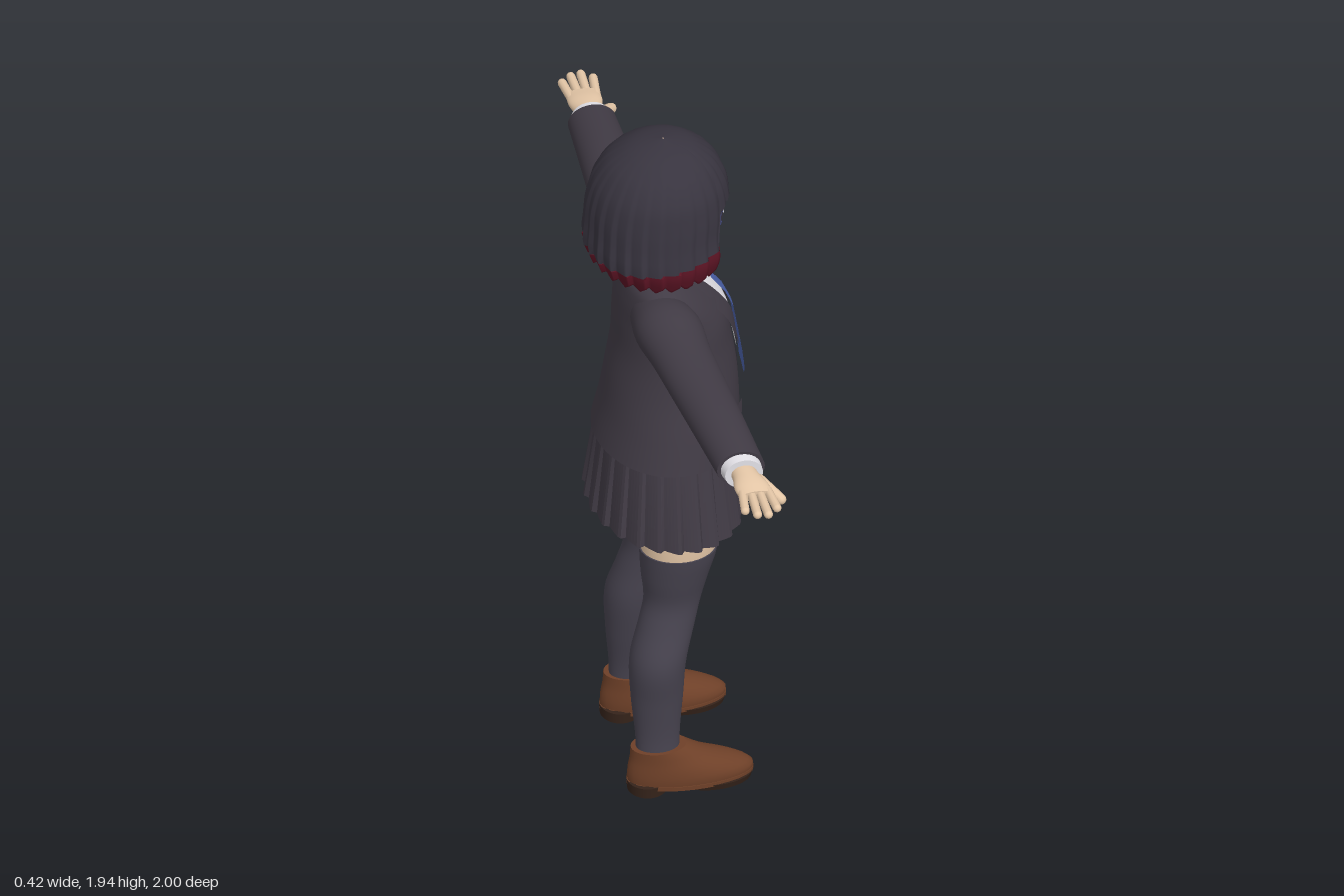
import * as THREE from 'three';

const paint = (name, color) => {
  const m = new THREE.MeshStandardMaterial({ color, side: THREE.DoubleSide });
  m.name = name;
  return m;
};

// Grid surface: fn(u, v) gives a point; u runs to the right, v runs up.
function grid(cols, rows, fn, closed) {
  const pos = [], idx = [], w = closed ? cols : cols + 1;
  for (let i = 0; i <= rows; i++)
    for (let j = 0; j < w; j++) pos.push(...fn(j / cols, i / rows, i));
  for (let i = 0; i < rows; i++)
    for (let j = 0; j < cols; j++) {
      const a = i * w + j, b = i * w + (j + 1) % w;
      idx.push(a, b, b + w, a, b + w, a + w);
    }
  const g = new THREE.BufferGeometry();
  g.setAttribute('position', new THREE.Float32BufferAttribute(pos, 3));
  g.setIndex(idx);
  g.computeVertexNormals();
  return g;
}

// Smooth reading of cross-sections [y, centre x, centre z, radius x, radius z].
function profile(sections) {
  const it = new THREE.CubicInterpolant(sections.map(s => s[0]), sections.flatMap(s => s.slice(1)), 4);
  const lo = sections[0][0], hi = sections[sections.length - 1][0];
  const at = y => it.evaluate(THREE.MathUtils.clamp(y, lo, hi));
  return Object.assign(at, { lo, hi });
}

// Closed body through a profile, with sharp-edged end caps.
function loft(prof, { lo = prof.lo, hi = prof.hi, grow = 0, cols = 32, rows = 24 } = {}) {
  return grid(cols, rows + 4, (u, v, i) => {
    const y = lo + (hi - lo) * THREE.MathUtils.clamp((i - 2) / rows, 0, 1);
    const [cx, cz, rx, rz] = prof(y), a = u * Math.PI * 2, k = i === 0 || i === rows + 4 ? 0 : 1;
    return [cx + k * (rx + grow) * Math.sin(a), y, cz + k * (rz + grow) * Math.cos(a)];
  }, true);
}

// Thin panel laid on the front of a profile; rows are [y, x from, x to], upwards.
function panel(prof, outline, off, side = 1) {
  const n = outline.length - 1;
  return grid(10, n * 4, (u, v) => {
    const k = Math.min(n - 1, Math.floor(v * n)), f = v * n - k;
    const [y, x0, x1] = outline[k].map((p, c) => THREE.MathUtils.lerp(p, outline[k + 1][c], f));
    const x = side > 0 ? x0 + (x1 - x0) * u : -x1 + (x1 - x0) * u;
    const [cx, cz, rx, rz] = prof(y);
    const s = (x - cx) / (rx + off);
    return [x, y, cz + (rz + off) * Math.sqrt(Math.max(0, 1 - s * s))];
  });
}

const oval = (x, y, rx, ry) => Array.from({ length: 9 }, (_, i) => {
  const a = -Math.PI / 2 + i / 8 * Math.PI, c = rx * Math.cos(a);
  return [y + ry * Math.sin(a), x - c, x + c];
});

export function createModel() {
  const model = new THREE.Group(), figure = new THREE.Group();
  model.name = 'schoolgirl';
  figure.name = 'figure';
  figure.rotation.y = Math.PI / 2;
  model.add(figure);

  const cloth = paint('dark jacket cloth', 0x413b45), hairMat = paint('dark hair', 0x38343f);
  const tipMat = paint('red hair tips', 0x5c1424), skin = paint('skin', 0xe6c8a8);
  const sockMat = paint('sock', 0x47434f), blue = paint('tie blue', 0x4a60a8);
  const brown = paint('shoe leather', 0x6e4028), soleMat = paint('dark sole', 0x35231a);
  const white = paint('white', 0xe6e4ea), iris = paint('iris', 0x4a5290);

  const add = (name, geo, mat) => {
    const m = new THREE.Mesh(geo, mat);
    m.name = name;
    figure.add(m);
    return m;
  };
  const capsule = (name, from, to, r, mat) => {
    const a = new THREE.Vector3(...from), b = new THREE.Vector3(...to), d = b.clone().sub(a);
    const m = add(name, new THREE.CapsuleGeometry(r, d.length(), 5, 10), mat);
    m.position.copy(a).add(b).multiplyScalar(0.5);
    m.quaternion.setFromUnitVectors(new THREE.Vector3(0, 1, 0), d.normalize());
  };

  // Head and face
  const head = profile([[1.577, 0, .085, .015, .02], [1.59, 0, .068, .05, .055], [1.62, 0, .037, .09, .098],
    [1.66, 0, .01, .12, .138], [1.72, 0, 0, .137, .15], [1.8, 0, -.01, .14, .15], [1.88, 0, -.01, .09, .1]]);
  add('head', loft(head), skin);
  const nose = add('nose', new THREE.ConeGeometry(.012, .035, 10), skin);
  nose.position.set(0, 1.672, .152);
  nose.rotation.x = .5;
  add('mouth', panel(head, oval(0, 1.632, .022, .004), .004), tipMat);
  for (const s of [1, -1]) {
    add('eyeWhite', panel(head, oval(.062, 1.712, .031, .026), .003, s), white);
    add('iris', panel(head, oval(.06, 1.711, .02, .025), .005, s), iris);
    add('pupil', panel(head, oval(.06, 1.711, .009, .013), .007, s), hairMat);
    add('eyelash', panel(head, [[1.727, .028, .096], [1.737, .035, .092], [1.743, .05, .08]], .007, s), hairMat);
    add('glint', panel(head, oval(.053 * s, 1.722, .005, .005), .009), white);
  }

  // Bobbed hair: short fringe in front, long locks around, red ends
  const bob = profile([[1.58, 0, -.02, .19, .165], [1.64, 0, -.02, .208, .185], [1.7, 0, -.02, .198, .183],
    [1.77, 0, -.015, .187, .182], [1.84, 0, -.01, .167, .163], [1.9, 0, -.005, .115, .115],
    [1.93, 0, 0, .055, .055], [1.94, 0, 0, .002, .002]]);
  const lock = a => { const f = a * 26 / (Math.PI * 2); return f - Math.floor(f); };
  const point = (a, y, depth, k = 1) => {
    const [, cz, rx, rz] = bob(y), r = k * (1 + depth * (lock(a) - .5));
    return [rx * r * Math.sin(a), y, cz + rz * r * Math.cos(a)];
  };
  const seam = a => 1.65 + .02 * Math.cos(a);
  const part = .68;
  add('hair', grid(156, 24, (u, v) => {
    const a = (u * 2 - 1) * Math.PI;
    const low = Math.abs(a) < part ? 1.762 + .022 * Math.abs(2 * lock(a) - 1) : seam(a);
    return point(a, low + (1.94 - low) * Math.sin(v * Math.PI / 2), .07 * (1 - v) ** 2);
  }, true), hairMat);
  add('hairTips', grid(140, 8, (u, v, i) => {
    const a = part + u * (Math.PI * 2 - 2 * part);
    const low = 1.585 + .022 * Math.abs(2 * lock(a) - 1), b = a > Math.PI ? a - 2 * Math.PI : a;
    if (i === 0) return point(b, low + .03, .07, .72);
    return point(b, low + (seam(a) - low) * (i - 1) / 7, .07);
  }), tipMat);

  // Neck, jacket, shirt and tie
  const neck = add('neck', new THREE.CylinderGeometry(.05, .055, .14, 20), skin);
  neck.position.set(0, 1.57, -.02);
  const jacket = profile([[1.03, 0, .005, .243, .19], [1.12, 0, .015, .224, .18], [1.22, 0, .02, .2, .17],
    [1.32, 0, .02, .188, .155], [1.42, 0, .012, .188, .142], [1.5, 0, -.012, .192, .108],
    [1.55, 0, -.03, .155, .075], [1.575, 0, -.03, .085, .052]]);
  add('jacket', loft(jacket, { cols: 48, rows: 32 }), cloth);
  const collar = add('shirtCollar', new THREE.CylinderGeometry(.06, .078, .05, 24, 1, true), white);
  collar.position.set(0, 1.572, -.022);
  add('shirt', panel(jacket, [[1.25, -.006, .006], [1.4, -.04, .04], [1.5, -.06, .06], [1.57, -.06, .06]], .006), white);
  add('tie', panel(jacket, [[1.165, -.006, .006], [1.195, -.036, .036], [1.3, -.034, .034],
    [1.49, -.02, .02]], .018), blue);
  add('tieKnot', panel(jacket, [[1.485, -.018, .018], [1.54, -.029, .029], [1.55, -.025, .025]], .024), blue);
  add('frontEdge', panel(jacket, [[1.04, .012, .018], [1.26, .012, .018]], .006), cloth);
  for (const s of [1, -1]) {
    add('collarWing', panel(jacket, [[1.505, .052, .06], [1.54, .028, .075], [1.572, .022, .07]], .016, s), white);
    add('lapel', panel(jacket, [[1.25, .012, .02], [1.36, .036, .085], [1.46, .052, .118],
      [1.475, .054, .085], [1.49, .056, .105], [1.555, .065, .1]], .013, s), cloth);
    add('pocketFlap', panel(jacket, [[1.115, .105, .19], [1.155, .1, .186]], .011, s), cloth);
  }
  add('chestBadge', panel(jacket, [[1.425, .12, .165], [1.435, .112, .172], [1.45, .118, .165]], .012), white);
  for (const y of [1.2, 1.29]) {
    const [, cz, , rz] = jacket(y);
    const b = add('button', new THREE.SphereGeometry(.011, 12, 8), soleMat);
    b.position.set(.06, y, cz + rz * .96);
    b.scale.z = .6;
  }

  // Pleated skirt with stepped folds, slightly longer in front
  const skirt = grid(144, 4, (u, v) => {
    const a = u * Math.PI * 2, f = (u * 24) % 1;
    const fold = f < .8 ? f / .8 : (1 - f) / .2, flare = 1 - v;
    const r = 1 + .065 * (fold - .5) * (.3 + .7 * flare);
    const rx = .222 + .048 * flare, rz = .172 + .03 * flare;
    return [rx * r * Math.sin(a), 1.06 - flare * (.255 + .015 * Math.cos(a)), rz * r * Math.cos(a)];
  }, true).toNonIndexed();
  skirt.computeVertexNormals();
  add('skirt', skirt, cloth);
  add('shorts', loft(profile([[.84, 0, .005, .06, .09], [.88, 0, .005, .17, .13], [.94, 0, .005, .21, .15],
    [1.04, 0, .005, .2, .15]])), cloth);

  for (const s of [1, -1]) {
    // Leg, sock and loafer
    const leg = profile([[.09, .167, -.05, .042, .057], [.16, .163, -.05, .043, .058], [.28, .156, -.05, .06, .068],
      [.4, .152, -.046, .077, .074], [.5, .136, -.02, .068, .074], [.57, .126, -.003, .066, .075],
      [.65, .126, .004, .08, .089], [.73, .13, .012, .089, .102], [.95, .125, .01, .098, .11]]
      .map(([y, x, ...r]) => [y, s * x, ...r]));
    add('thigh', loft(leg, { lo: .71, grow: -.004 }), skin);
    add('sock', loft(leg, { hi: .735, rows: 32 }), sockMat);
    const layer = (name, rows, mat) =>
      add(name, loft(profile(rows.map(([y, z, rx, rz]) => [y, s * .167, z, rx, rz])), { rows: 10 }), mat);
    layer('shoe', [[.022, .035, .064, .164], [.045, .034, .066, .165], [.07, .014, .062, .143],
      [.095, -.018, .055, .106], [.13, -.048, .05, .073]], brown);
    layer('shoeWelt', [[.018, .035, .067, .167], [.03, .035, .067, .167]], brown);
    layer('heel', [[0, -.078, .056, .052], [.03, -.078, .058, .054]], soleMat);
    layer('sole', [[.004, .095, .06, .1], [.022, .095, .065, .106]], soleMat);

    // Sleeve, cuff and hand; the right arm reaches a little further forward
    const drift = x => (s > 0 ? .01 : .07) * (x - .2) / .6;
    const along = (name, rows, mat) => {
      const g = loft(profile(rows.map(([x, y, ry, rz]) => [x, -s * y, -.03 + drift(x), ry, rz])));
      add(name, g.rotateZ(-s * Math.PI / 2), mat);
    };
    along('sleeve', [[.11, 1.465, .07, .07], [.2, 1.474, .079, .087], [.3, 1.466, .067, .079], [.42, 1.459, .06, .075],
      [.6, 1.45, .058, .069], [.78, 1.438, .052, .063]], cloth);
    along('cuff', [[.76, 1.438, .047, .056], [.805, 1.437, .043, .05]], white);
    along('palm', [[.77, 1.438, .027, .033], [.82, 1.438, .026, .035], [.865, 1.438, .022, .045],
      [.905, 1.437, .015, .044]], skin);
    const zc = -.03 + drift(.9);
    [.96, .983, .988, .965].forEach((tip, i) => {
      const z = (i - 1.5) * .022;
      capsule('finger', [s * .885, 1.438, zc + z], [s * tip, 1.436, zc + z * 1.25], .0118, skin);
    });
    capsule('thumb', [s * .825, 1.428, zc + .026], [s * .878, 1.397, zc + .07], .0145, skin);
  }
  return model;
}
